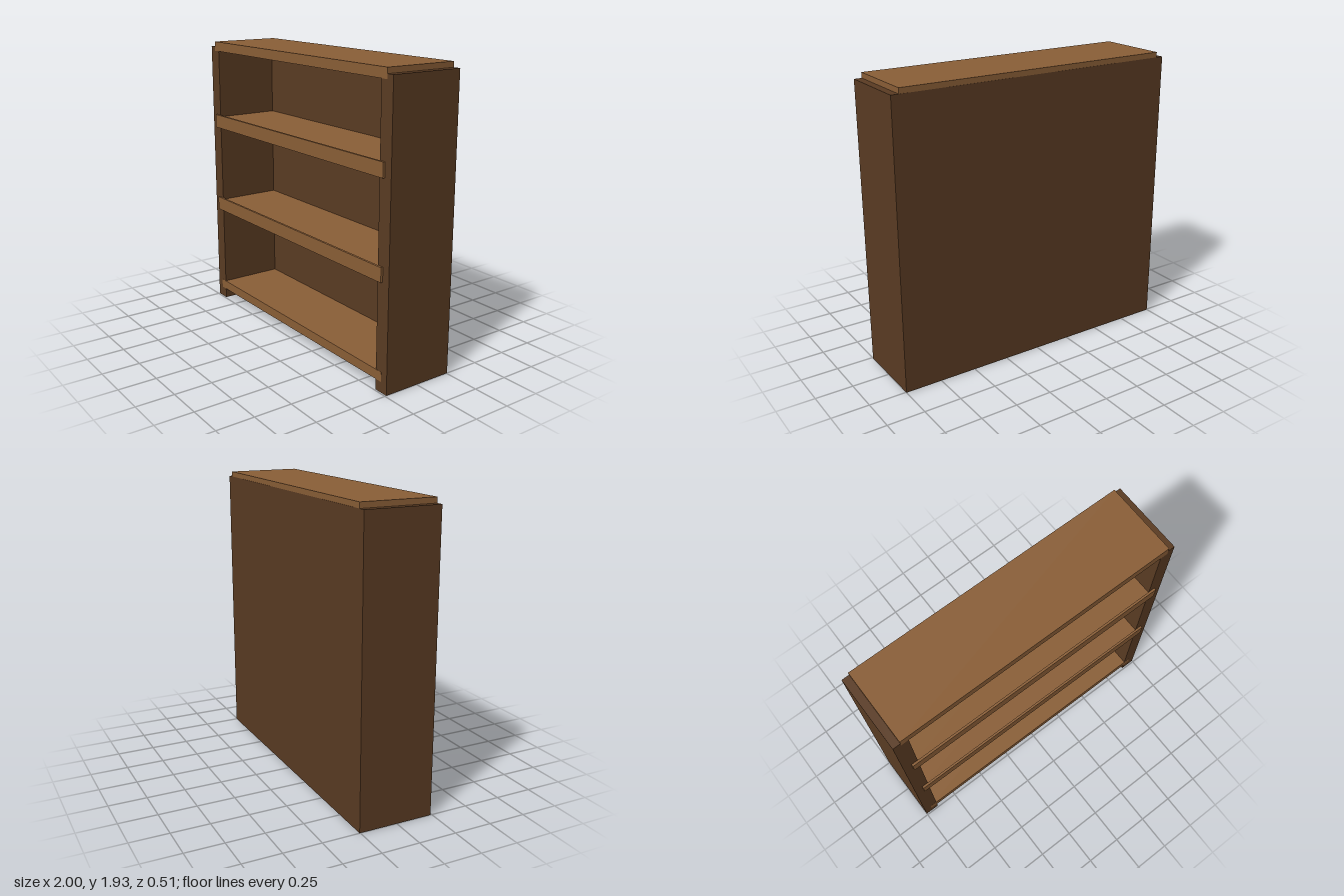
import * as THREE from 'three';

export function createModel() {
  const group = new THREE.Group();
  const darkWood = new THREE.MeshStandardMaterial({ color: 0x5b3c23 });
  darkWood.name = 'dark wood';
  const lightWood = new THREE.MeshStandardMaterial({ color: 0x8b5f37 });
  lightWood.name = 'light wood';

  // Box given by its minimum and maximum corners
  function board(name, material, [x0, y0, z0], [x1, y1, z1]) {
    const mesh = new THREE.Mesh(new THREE.BoxGeometry(x1 - x0, y1 - y0, z1 - z0), material);
    mesh.position.set((x0 + x1) / 2, (y0 + y1) / 2, (z0 + z1) / 2);
    mesh.name = name;
    group.add(mesh);
  }

  const back = -0.255, front = 0.24, height = 1.9;

  // Carcass: two thick sides and a back panel
  board('leftSide', darkWood, [0.9, 0, back], [1, height, front]);
  board('rightSide', darkWood, [-1, 0, back], [-0.9, height, front]);
  board('backPanel', darkWood, [-0.9, 0, back], [0.9, height, back + 0.05]);

  // Top and bottom boards, let into the sides and just proud of their fronts
  board('topBoard', lightWood, [-0.95, 1.87, back + 0.001], [0.95, 1.935, front + 0.001]);
  board('bottomBoard', lightWood, [-0.95, 0.07, back + 0.001], [0.95, 0.133, front + 0.001]);

  // Middle shelves, each with a front lip
  for (const y of [0.7, 1.32]) {
    board('shelf', lightWood, [-0.945, y + 0.015, back + 0.001], [0.945, y + 0.08, front]);
    board('shelfLip', lightWood, [-0.945, y, front], [0.945, y + 0.093, 0.255]);
  }

  return group;
}
